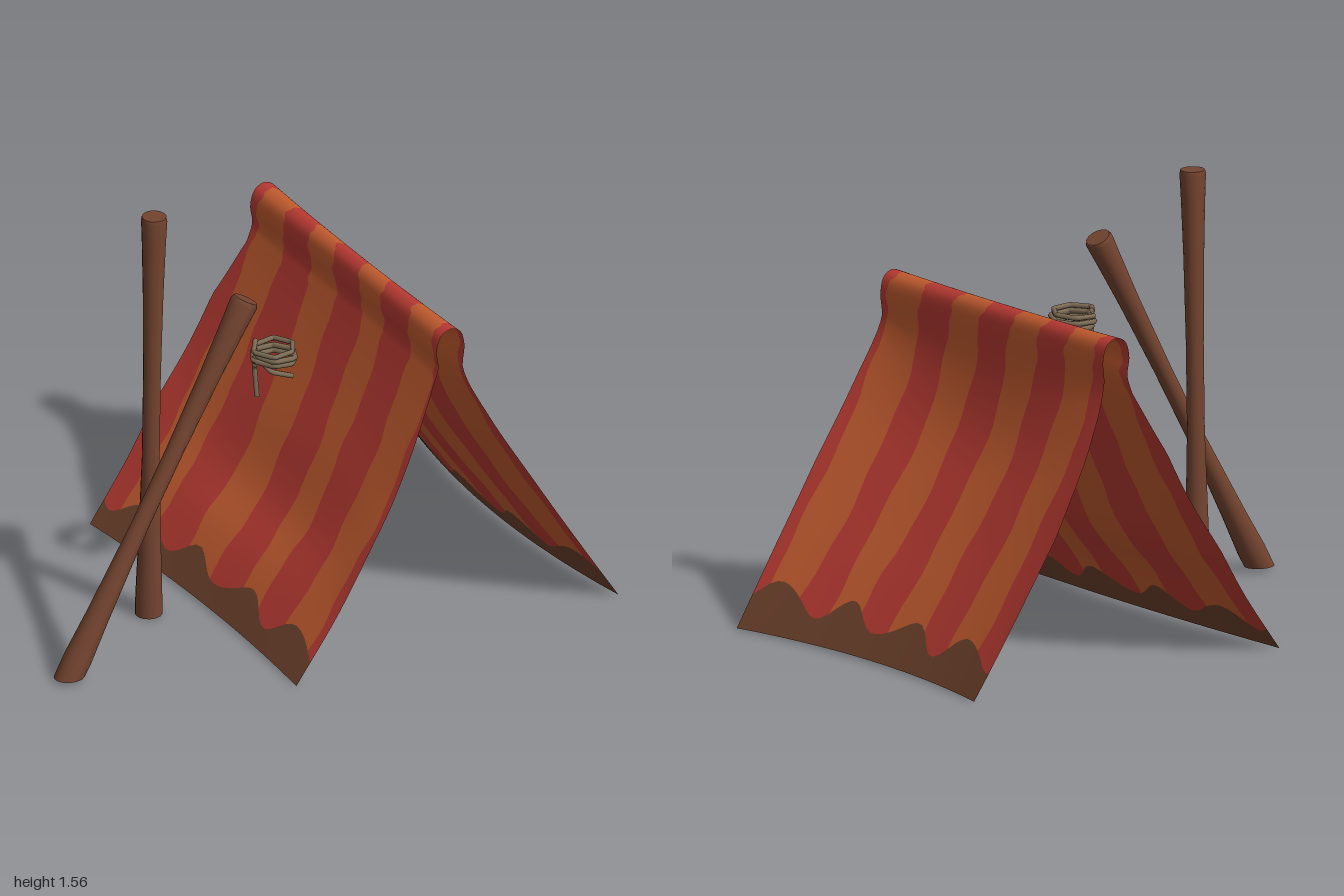
import * as THREE from 'three';

const paint = (name, color, side = THREE.FrontSide) => {
  const m = new THREE.MeshStandardMaterial({ color, side });
  m.name = name;
  return m;
};

const lerp = THREE.MathUtils.lerp;

// Piecewise linear lookup in a list of [key, value] pairs
function lookup(pairs, k) {
  for (let i = 1; i < pairs.length; i++) {
    const [a, va] = pairs[i - 1], [b, vb] = pairs[i];
    if (k <= b) return lerp(va, vb, Math.max(0, (k - a) / (b - a)));
  }
  return pairs[pairs.length - 1][1];
}

const curve = (pts) => new THREE.CatmullRomCurve3(pts.map(([x, y]) => new THREE.Vector3(x, y, 0)));

// Cloth cross-section at the open ends and, sagging inward, at mid length
const endProfile = curve([
  [-0.3, 0.005], [-0.14, 0.22], [-0.02, 0.41], [0.1, 0.6], [0.2, 0.8], [0.29, 1.0], [0.31, 1.06], [0.303, 1.13],
  [0.322, 1.185], [0.36, 1.203], [0.398, 1.185], [0.415, 1.13], [0.41, 1.03], [0.5, 0.83], [0.65, 0.57], [0.82, 0.29], [1.0, 0.005],
]);
const midProfile = curve([
  [-0.27, 0.01], [-0.14, 0.2], [-0.005, 0.36], [0.11, 0.59], [0.21, 0.79], [0.3, 1.0], [0.32, 1.06], [0.315, 1.13],
  [0.33, 1.18], [0.36, 1.198], [0.39, 1.18], [0.405, 1.13], [0.405, 1.0], [0.47, 0.75], [0.62, 0.48], [0.78, 0.24], [0.935, 0.01],
]);

// Front and back edges of the cloth, keyed by profile point number
const frontEdge = [[0, 0.69], [2, 0.685], [4, 0.66], [5, 0.635], [12, 0.635], [13, 0.665], [14, 0.69], [15, 0.7], [16, 0.7]];
const backEdge = [[0, -0.69], [2, -0.71], [4, -0.68], [5, -0.61], [9, -0.615], [12, -0.605], [13, -0.64], [14, -0.66], [16, -0.625]];

// Stripe borders, back to front, at five places across the cloth
const stripeKeys = [0, 3, 9, 14, 16];
const stripeBorders = [
  [-0.59, -0.59, -0.56, -0.53, -0.5],
  [-0.4, -0.4, -0.41, -0.36, -0.325],
  [-0.2, -0.2, -0.26, -0.18, -0.15],
  [-0.015, -0.015, -0.11, -0.015, 0.03],
  [0.16, 0.16, 0.06, 0.15, 0.205],
  [0.29, 0.29, 0.22, 0.31, 0.35],
  [0.47, 0.47, 0.41, 0.45, 0.5],
  [0.64, 0.64, 0.58, 0.63, 0.65],
].map((row) => row.map((z, i) => [stripeKeys[i], z]));

function makeCloth(materials) {
  const perStripe = 6, hemRows = 3, bodyRows = 80;
  const cols = 9 * perStripe, rows = bodyRows + 2 * hemRows;

  const border = (i, k) => {
    if (i === 0) return lookup(backEdge, k);
    if (i === 9) return lookup(frontEdge, k);
    const wiggle = 0.006 * Math.sin(k * 3.1 + i * 2.3) + 0.004 * Math.sin(k * 7.3 + i);
    return lookup(stripeBorders[i - 1], k) + wiggle;
  };
  // Scalloped top of the hem, as a share of the profile
  const hem = (z, shift) => 0.03 + 0.01 * Math.cos(((z - shift) * 2 * Math.PI) / 0.337) + 0.002 * Math.sin(z * 31);

  const positions = [];
  for (let r = 0; r <= rows; r++) {
    const t = THREE.MathUtils.clamp((r - hemRows) / bodyRows, 0, 1);
    let k = 16 * lerp(0.03, 0.97, t);
    if (r < hemRows) k *= r / hemRows;
    if (r > rows - hemRows) k = lerp(16, k, (rows - r) / hemRows);
    for (let c = 0; c <= cols; c++) {
      const i = Math.min(8, Math.floor(c / perStripe));
      const z = lerp(border(i, k), border(i + 1, k), c / perStripe - i);
      const low = hem(z, 0.2), high = 1 - hem(z, 0.24);
      let u = lerp(low, high, t);
      if (r < hemRows) u = low * r / hemRows;
      if (r > rows - hemRows) u = lerp(1, high, (rows - r) / hemRows);
      const v = (z - border(0, k)) / (border(9, k) - border(0, k));
      const p = endProfile.getPoint(u).lerp(midProfile.getPoint(u), 1 - (2 * v - 1) ** 2);
      positions.push(p.x, p.y, z);
    }
  }

  // Faces sorted by colour: red, orange, brown
  const faces = [[], [], []];
  for (let r = 0; r < rows; r++) {
    for (let c = 0; c < cols; c++) {
      const inHem = r < hemRows || r >= rows - hemRows;
      const a = r * (cols + 1) + c, b = a + cols + 1;
      faces[inHem ? 2 : Math.floor(c / perStripe) % 2].push(a, a + 1, b, a + 1, b + 1, b);
    }
  }
  const geo = new THREE.BufferGeometry();
  geo.setAttribute('position', new THREE.Float32BufferAttribute(positions, 3));
  geo.setIndex(faces.flat());
  let start = 0;
  faces.forEach((list, i) => {
    geo.addGroup(start, list.length, i);
    start += list.length;
  });
  geo.computeVertexNormals();
  return new THREE.Mesh(geo, materials);
}

// Pole with flared ends, its foot cut level with the ground
function makePole(foot, top, radii, material) {
  const dir = top.clone().sub(foot), length = dir.length();
  dir.normalize();
  const heights = [0, 0.05, 0.16, 0.4, 0.6, 0.8, 0.93, 0.99, 1];
  const side = heights.map((h, i) => new THREE.Vector2(radii[i], h * length));
  const turn = new THREE.Quaternion().setFromUnitVectors(new THREE.Vector3(0, 1, 0), dir);
  const place = (g) => g.applyQuaternion(turn).translate(foot.x, foot.y, foot.z);
  const level = (g, isFoot) => {
    const pos = g.attributes.position, p = new THREE.Vector3();
    for (let i = 0; i < pos.count; i++) {
      if (!isFoot(i)) continue;
      p.fromBufferAttribute(pos, i);
      p.addScaledVector(dir, (foot.y - p.y) / dir.y);
      pos.setXYZ(i, p.x, p.y, p.z);
    }
    return g;
  };
  const pole = new THREE.Group();
  const shaft = level(place(new THREE.LatheGeometry(side, 14)), (i) => i % heights.length === 0);
  shaft.computeVertexNormals();
  const footCap = level(place(new THREE.CircleGeometry(radii[0], 14).rotateX(Math.PI / 2)), () => true);
  const topCap = place(new THREE.CircleGeometry(radii[8], 14).rotateX(-Math.PI / 2).translate(0, length, 0));
  [['poleShaft', shaft], ['poleFoot', footCap], ['poleTop', topCap]].forEach(([name, g]) => {
    const mesh = new THREE.Mesh(g, material);
    mesh.name = name;
    pole.add(mesh);
  });
  return pole;
}

// Six-sided rope coil with a hanging tail
function makeRope(material) {
  const pts = [new THREE.Vector3(-0.163, 0.885, 0.2), new THREE.Vector3(-0.167, 1.0, 0.19)];
  for (let i = 0; i <= 19; i++) {
    const a = Math.PI + (i * Math.PI) / 3;
    const r = 0.078 - 0.006 * Math.sin(i * 1.7);
    const spread = 0.6 + 0.4 * Math.cos(a);
    pts.push(new THREE.Vector3(-0.1 + r * Math.cos(a), 1.02 + 0.0025 * i - 0.02 * spread * (1 - i / 12), 0.21 + r * Math.sin(a)));
  }
  // Loose strand under the coil
  const strand = [[-0.175, 1.05, 0.2], [-0.14, 1.0, 0.26], [-0.06, 0.968, 0.27]].map((p) => new THREE.Vector3(...p));
  const rope = new THREE.Group();
  [pts, strand].forEach((list, n) => {
    const path = new THREE.CurvePath();
    for (let i = 1; i < list.length; i++) path.add(new THREE.LineCurve3(list[i - 1], list[i]));
    const mesh = new THREE.Mesh(new THREE.TubeGeometry(path, list.length * 5, 0.01, 6), material);
    mesh.name = n ? 'ropeStrand' : 'ropeCoil';
    rope.add(mesh);
  });
  return rope;
}

export function createModel() {
  const red = paint('clothRed', 0xb83a32, THREE.DoubleSide);
  const orange = paint('clothOrange', 0xc25b2f, THREE.DoubleSide);
  const hemBrown = paint('hemBrown', 0x6d412b, THREE.DoubleSide);
  const wood = paint('woodBrown', 0x744430);
  const ropeTan = paint('ropeTan', 0x7d6c55, THREE.DoubleSide);

  const model = new THREE.Group();
  const add = (name, part) => {
    part.name = name;
    model.add(part);
  };
  add('tentCloth', makeCloth([red, orange, hemBrown]));
  add('uprightPole', makePole(new THREE.Vector3(-0.46, 0.003, -0.035), new THREE.Vector3(-0.44, 1.565, -0.03),
    [0.048, 0.047, 0.041, 0.031, 0.031, 0.036, 0.042, 0.046, 0.043], wood));
  add('leaningPole', makePole(new THREE.Vector3(-0.945, 0.015, 0.235), new THREE.Vector3(-0.23, 1.302, 0.235),
    [0.049, 0.05, 0.042, 0.031, 0.031, 0.037, 0.045, 0.05, 0.044], wood));
  add('rope', makeRope(ropeTan));
  return model;
}
